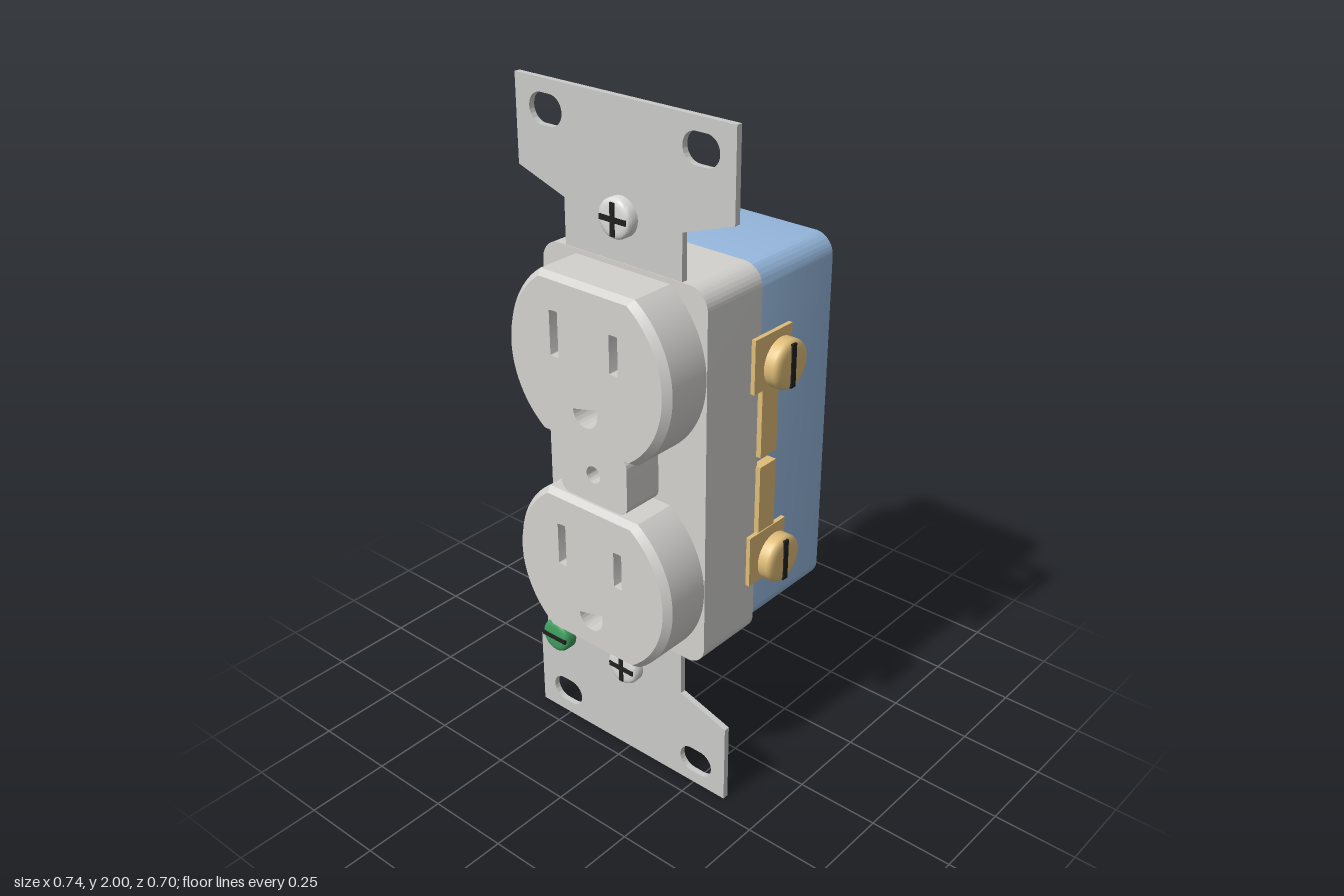
import * as THREE from 'three';
import { toCreasedNormals } from 'three/addons/utils/BufferGeometryUtils.js';

const paint = (name, color) => {
  const m = new THREE.MeshStandardMaterial({ color });
  m.name = name;
  return m;
};

// Rounded rectangle; with r = half the short side it becomes a slot
function roundRect(Type, cx, cy, w, h, r) {
  const p = new Type();
  const x = w / 2 - r, y = h / 2 - r;
  p.absarc(cx + x, cy + y, r, 0, Math.PI / 2);
  p.absarc(cx - x, cy + y, r, Math.PI / 2, Math.PI);
  p.absarc(cx - x, cy - y, r, Math.PI, Math.PI * 1.5);
  p.absarc(cx + x, cy - y, r, Math.PI * 1.5, Math.PI * 2);
  p.closePath();
  return p;
}

// Extrude from z0 to z1; an optional chamfer draws in the outer rim at z1
function prism(shape, z0, z1, chamfer) {
  const depth = z1 - z0;
  const geo = new THREE.ExtrudeGeometry(shape, {
    depth, steps: chamfer ? 2 : 1, bevelEnabled: false, curveSegments: 20,
  });
  if (chamfer) {
    const p = geo.attributes.position;
    for (let i = 0; i < p.count; i++) {
      const z = p.getZ(i);
      if (z > depth * 0.9) {
        if (Math.hypot(p.getX(i), p.getY(i)) > 0.2) {
          p.setXY(i, p.getX(i) * chamfer.sx, p.getY(i) * chamfer.sy);
        }
      } else if (z > depth * 0.1) p.setZ(i, depth - chamfer.drop);
    }
  }
  geo.translate(0, 0, z0);
  return toCreasedNormals(geo, 0.5);
}

export function createModel() {
  const plastic = paint('grey plastic', 0xd2d1ce);
  const steel = paint('strap steel', 0xcacac8);
  const silver = paint('silver screw', 0xdcdcda);
  const brass = paint('brass', 0xdfbd78);
  const blue = paint('blue housing', 0x92b3d8);
  const green = paint('green screw', 0x3f9f5f);
  const dark = paint('dark recess', 0x202020);

  const model = new THREE.Group();
  const add = (parent, name, geo, mat, x = 0, y = 0, z = 0) => {
    const m = new THREE.Mesh(geo, mat);
    m.name = name;
    m.position.set(x, y, z);
    parent.add(m);
    return m;
  };
  const box = (w, h, d) => new THREE.BoxGeometry(w, h, d);

  // Screw head facing +z with dark drive slots given as angles
  function screw(name, mat, r, h, angles, slotLength) {
    const g = new THREE.Group();
    g.name = name;
    const profile = [[0, 0], [r, 0], [r, h * 0.68], [r * 0.95, h * 0.85], [r * 0.84, h * 0.96], [r * 0.65, h], [0, h]]
      .map(([x, y]) => new THREE.Vector2(x, y));
    const head = new THREE.LatheGeometry(profile, 32);
    head.rotateX(Math.PI / 2);
    add(g, 'screwHead', toCreasedNormals(head, 0.6), mat);
    for (const a of angles) {
      add(g, 'driveSlot', box(slotLength, r * 0.27, 0.008), dark, 0, 0, h - 0.001).rotation.z = a;
    }
    model.add(g);
    return g;
  }

  // Mounting strap with ears, grounding tab and slots
  const strap = new THREE.Shape();
  [[-0.363, 0], [0.363, 0], [0.363, 0.25], [0.2, 0.3], [0.2, 1.7], [0.363, 1.755], [0.363, 2],
    [-0.363, 2], [-0.363, 1.755], [-0.2, 1.7], [-0.2, 0.345], [-0.215, 0.36], [-0.32, 0.36],
    [-0.335, 0.345], [-0.335, 0.26], [-0.363, 0.25]]
    .forEach(([x, y], i) => (i ? strap.lineTo(x, y) : strap.moveTo(x, y)));
  for (const y of [0.08, 1.92]) {
    for (const x of [-0.257, 0.257]) strap.holes.push(roundRect(THREE.Path, x, y, 0.115, 0.084, 0.0415));
  }
  for (const y of [0.31, 1.695]) strap.holes.push(roundRect(THREE.Path, 0, y, 0.05, 0.09, 0.0245));
  add(model, 'mountingStrap', prism(strap, 0.179, 0.197), steel);

  // Front body and rear housing
  add(model, 'frontBody', prism(roundRect(THREE.Shape, 0, 0, 0.57, 1.135, 0.06), -0.021, 0.199), plastic, 0, 1.002);
  add(model, 'rearHousing', prism(roundRect(THREE.Shape, 0, 0, 0.542, 1.106, 0.06), -0.352, -0.02,
    { sx: 0.965, sy: 0.983, drop: 0.021 }), blue, 0, 1.002);

  // Two socket faces: a circle cut flat above and below, with three openings
  const R = 0.283, flat = Math.asin(0.232 / R);
  const face = new THREE.Shape();
  face.absarc(0, 0, R, -flat, flat);
  face.absarc(0, 0, R, Math.PI - flat, Math.PI + flat);
  face.closePath();
  face.holes.push(roundRect(THREE.Path, -0.104, 0.07, 0.029, 0.13, 0.003));
  face.holes.push(roundRect(THREE.Path, 0.104, 0.07, 0.029, 0.11, 0.003));
  const ground = new THREE.Path();
  ground.moveTo(-0.043, -0.104);
  ground.absarc(0, -0.126, 0.043, Math.PI, Math.PI * 2);
  ground.lineTo(0.043, -0.104);
  ground.closePath();
  face.holes.push(ground);
  const faceGeo = prism(face, 0.19, 0.35, { sx: 0.935, sy: 0.945, drop: 0.02 });
  for (const y of [1.323, 0.681]) {
    add(model, 'socketFace', faceGeo, plastic, 0, y);
    add(model, 'socketFloor', box(0.34, 0.36, 0.008), dark, 0, y, 0.203);
  }

  // Centre bridge with its screw hole
  const bridge = roundRect(THREE.Shape, 0, 0, 0.24, 0.175, 0.03);
  bridge.holes.push(new THREE.Path().absarc(0, 0, 0.025, 0, Math.PI * 2));
  add(model, 'centreBridge', prism(bridge, 0.19, 0.325), plastic, 0, 1.002);
  add(model, 'centreHoleFloor', box(0.07, 0.07, 0.008), dark, 0, 1.002, 0.203);

  // Side terminals: brass on +x, silver on -x
  for (const [side, mat] of [[1, brass], [-1, silver]]) {
    for (const up of [1, -1]) {
      const y = 1.002 + up * 0.322;
      const plateY = 1.002 + up * 0.3;
      add(model, 'terminalPlate', box(0.013, 0.157, 0.158), mat, side * 0.297, plateY, -0.054);
      add(model, 'terminalStrip', box(0.035, 0.23, 0.07), mat, side * 0.283, 1.002 + up * 0.13, -0.05);
      const shank = new THREE.CylinderGeometry(0.03, 0.03, 0.04, 24);
      shank.rotateZ(Math.PI / 2);
      add(model, 'terminalShank', shank, mat, side * 0.312, plateY, -0.054);
      const s = screw('terminalScrew', mat, 0.071, 0.042, [Math.PI / 2], 0.126);
      s.position.set(side * 0.326, plateY, -0.054);
      s.rotation.y = side * Math.PI / 2;
    }
  }

  // Mounting screws and grounding screw
  for (const y of [0.31, 1.695]) {
    screw('mountingScrew', silver, 0.055, 0.035, [0, Math.PI / 2], 0.09).position.set(0, y, 0.196);
  }
  screw('groundingScrew', green, 0.052, 0.042, [0], 0.092).position.set(-0.267, 0.3, 0.196);

  return model;
}
